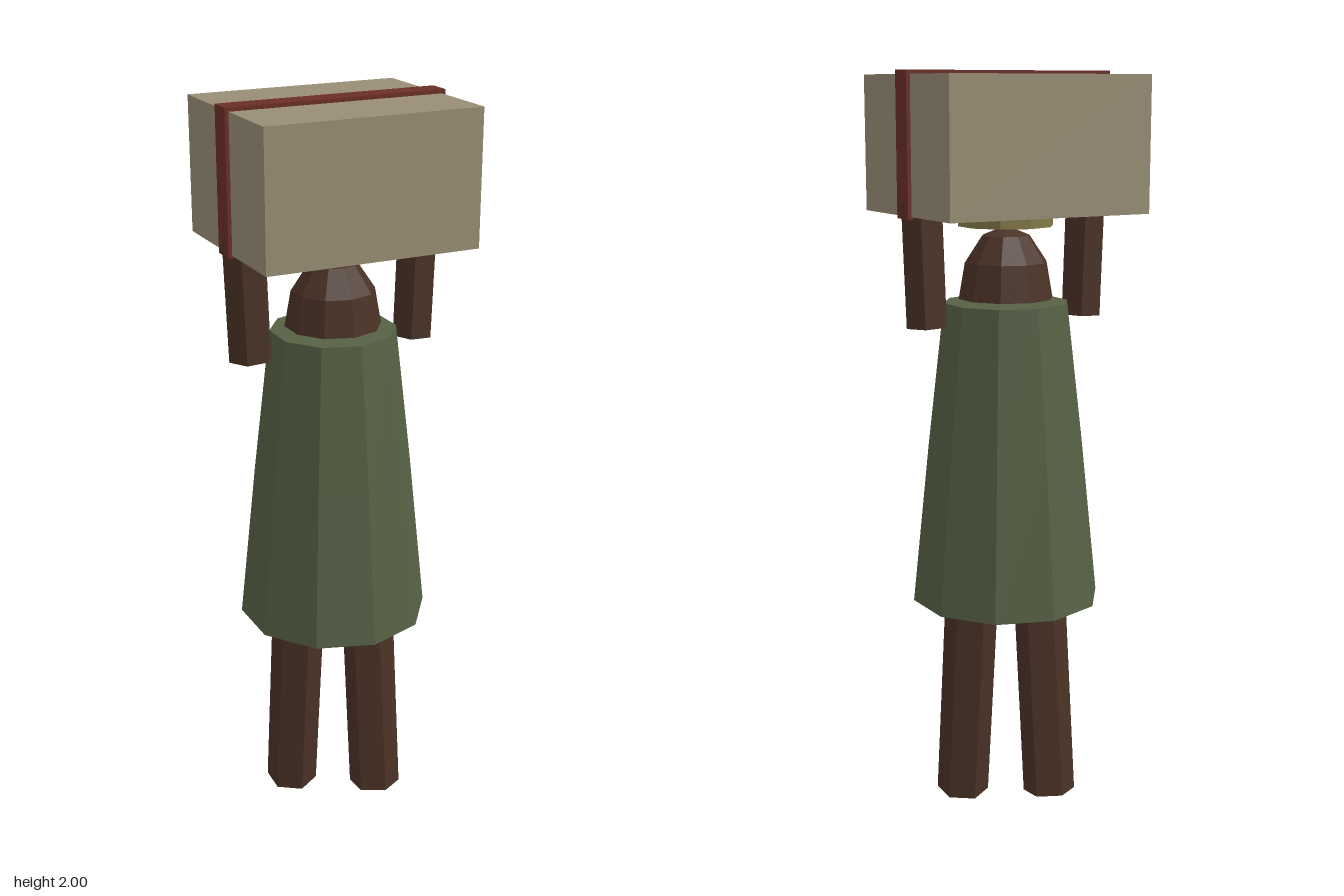
import * as THREE from 'three';

const material = (color, side = THREE.FrontSide) =>
  new THREE.MeshStandardMaterial({ color, side, flatShading: true });

export function createModel() {
  const group = new THREE.Group();
  const skin = material(0x4a3226);
  const skinOpen = material(0x4a3226, THREE.DoubleSide);
  const cloth = material(0x566145);
  const canvas = material(0x988d75);
  const strap = material(0x6b2e27);
  const straw = material(0x857a48);

  const add = (name, geometry, mat, x, y, z) => {
    const mesh = new THREE.Mesh(geometry, mat);
    mesh.name = name;
    mesh.position.set(x, y, z);
    group.add(mesh);
    return mesh;
  };
  // Ten-sided or six-sided drum between two heights
  const drum = (name, mat, rTop, rBottom, yBottom, yTop, sides = 10) =>
    add(name, new THREE.CylinderGeometry(rTop, rBottom, yTop - yBottom, sides),
      mat, 0, (yTop + yBottom) / 2, 0);

  // Long garment, flaring to the hem
  drum('skirt', cloth, 0.212, 0.257, 0.59, 1.02);
  drum('tunic', cloth, 0.167, 0.212, 1.02, 1.405);

  // Elongated half-dome head
  const dome = new THREE.SphereGeometry(0.127, 10, 3, 0, Math.PI * 2, 0, Math.PI / 2);
  dome.rotateY(Math.PI / 2);
  add('head', dome, skinOpen, 0, 1.415, 0).scale.y = 1.5;

  // Carrying pad, parcel and strap
  drum('headPad', straw, 0.127, 0.127, 1.605, 1.65);
  add('parcel', new THREE.BoxGeometry(0.58, 0.35, 0.474), canvas, 0, 1.815, 0);
  add('parcelStrap', new THREE.BoxGeometry(0.6, 0.366, 0.062), strap, 0, 1.817, 0);

  // Striding legs and raised arms
  for (const side of [1, -1]) {
    const label = side > 0 ? 'left' : 'right';

    const leg = new THREE.CylinderGeometry(0.072, 0.072, 0.62, 6);
    leg.rotateX(-0.1 * side);
    add(label + 'Leg', leg, skin, 0.104 * side, 0.316, 0.035 * side);

    const arm = new THREE.CylinderGeometry(0.058, 0.058, 0.325, 6);
    arm.rotateY(Math.PI / 6);
    arm.rotateZ(-0.035 * side);
    add(label + 'Arm', arm, skin, 0.241 * side, 1.518, 0);
  }
  return group;
}
